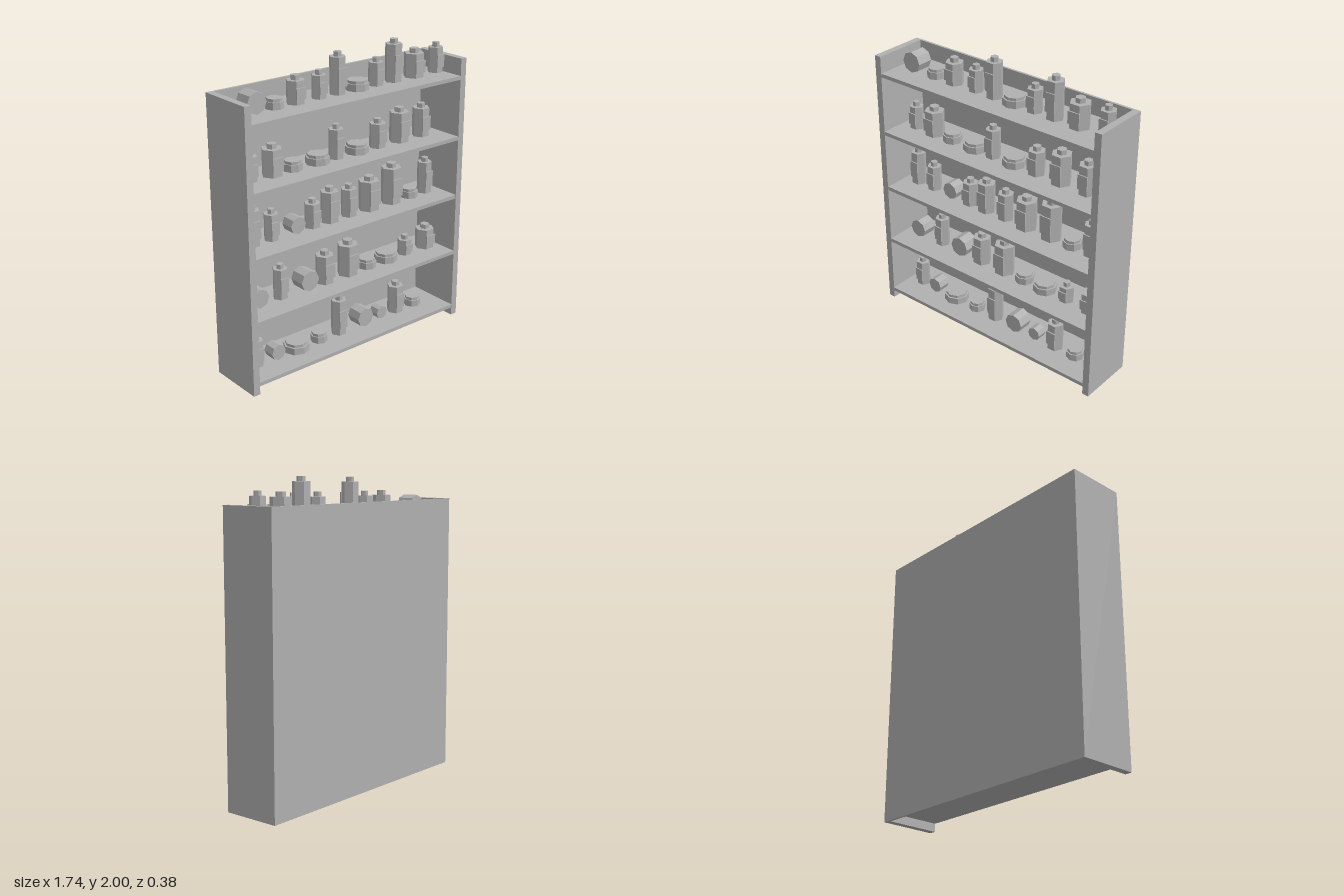
import * as THREE from 'three';

const grey = new THREE.MeshStandardMaterial({ color: 0xb0b0b0, flatShading: true });
grey.name = 'grey';

function add(parent, name, geometry, x, y, z) {
  const mesh = new THREE.Mesh(geometry, grey);
  mesh.name = name;
  mesh.position.set(x, y, z);
  parent.add(mesh);
  return mesh;
}

// Hexagonal bottle with a small cap and a thin label on its front
function bottle(g, r, h) {
  const capH = 0.03, bodyH = h - capH;
  add(g, 'bottleBody', new THREE.CylinderGeometry(r, r, bodyH, 6), 0, bodyH / 2, 0).rotation.y = Math.PI / 6;
  add(g, 'bottleCap', new THREE.CylinderGeometry(r * 0.48, r * 0.48, capH, 6), 0, bodyH + capH / 2, 0).rotation.y = Math.PI / 6;
  add(g, 'bottleLabel', new THREE.BoxGeometry(r * 1.2, bodyH * 0.5, 0.008), 0, bodyH * 0.47, r * 0.96);
}

// Low octagonal jar with a narrower lid
function jar(g, r) {
  add(g, 'jarBody', new THREE.CylinderGeometry(r, r, 0.046, 8), 0, 0.023, 0);
  add(g, 'jarLid', new THREE.CylinderGeometry(r * 0.86, r * 0.86, 0.018, 8), 0, 0.055, 0);
}

// Octagonal container lying with its end to the front
function roll(g, r) {
  add(g, 'lyingContainer', new THREE.CylinderGeometry(r, r, r * 1.6, 8), 0, r, 0).rotation.x = Math.PI / 2;
}

// Per shelf: [x, radius, height]; no height = jar, height 0 = lying container
const shelves = [
  [[-0.712, 0.047, 0.209], [-0.566, 0.053, 0], [-0.397, 0.085], [-0.209, 0.056], [-0.042, 0.053, 0.275],
    [0.151, 0.066, 0], [0.31, 0.045, 0], [0.463, 0.056, 0.225], [0.624, 0.058]],
  [[-0.698, 0.063, 0], [-0.513, 0.049, 0.23], [-0.317, 0.069, 0], [-0.159, 0.062, 0.222], [0.034, 0.07, 0.243],
    [0.201, 0.063], [0.368, 0.079], [0.54, 0.05, 0.138], [0.727, 0.066, 0.169]],
  [[-0.712, 0.05, 0.259], [-0.571, 0.048, 0.201], [-0.397, 0.057, 0], [-0.254, 0.053, 0.19], [-0.116, 0.06, 0.235],
    [0.042, 0.053, 0.214], [0.212, 0.071, 0.23], [0.407, 0.069, 0.275], [0.569, 0.061], [0.709, 0.05, 0.246]],
  [[-0.712, 0.046, 0.185], [-0.553, 0.066, 0.201], [-0.4, 0.063], [-0.209, 0.077], [-0.061, 0.05, 0.222],
    [0.108, 0.077], [0.283, 0.056, 0.19], [0.468, 0.066, 0.23], [0.661, 0.058, 0.222]],
  [[-0.688, 0.069, 0], [-0.525, 0.058], [-0.37, 0.059, 0.175], [-0.193, 0.048, 0.175], [-0.048, 0.053, 0.265],
    [0.108, 0.076], [0.262, 0.05, 0.18], [0.41, 0.056, 0.275], [0.587, 0.067, 0.188], [0.78, 0.05, 0.198]],
];

export function createModel() {
  const model = new THREE.Group();
  model.name = 'storageRack';

  // Case: two sides and a full back
  for (const s of [1, -1]) {
    add(model, s > 0 ? 'leftSide' : 'rightSide', new THREE.BoxGeometry(0.046, 1.84, 0.385), s * 0.847, 0.92, 0);
  }
  add(model, 'backPanel', new THREE.BoxGeometry(1.648, 1.84, 0.016), 0, 0.92, -0.1845);

  // Shelves and what stands on them
  shelves.forEach((items, i) => {
    const top = 0.08 + i * 0.4115;
    add(model, 'shelf', new THREE.BoxGeometry(1.648, 0.025, 0.368), 0, top - 0.0125, 0.0075);
    for (const [x, r, h] of items) {
      const g = new THREE.Group();
      g.name = h ? 'bottle' : h === 0 ? 'container' : 'jar';
      g.position.set(x, top, 0);
      if (h) bottle(g, r, h);
      else if (h === 0) roll(g, r);
      else jar(g, r);
      model.add(g);
    }
  });
  return model;
}
